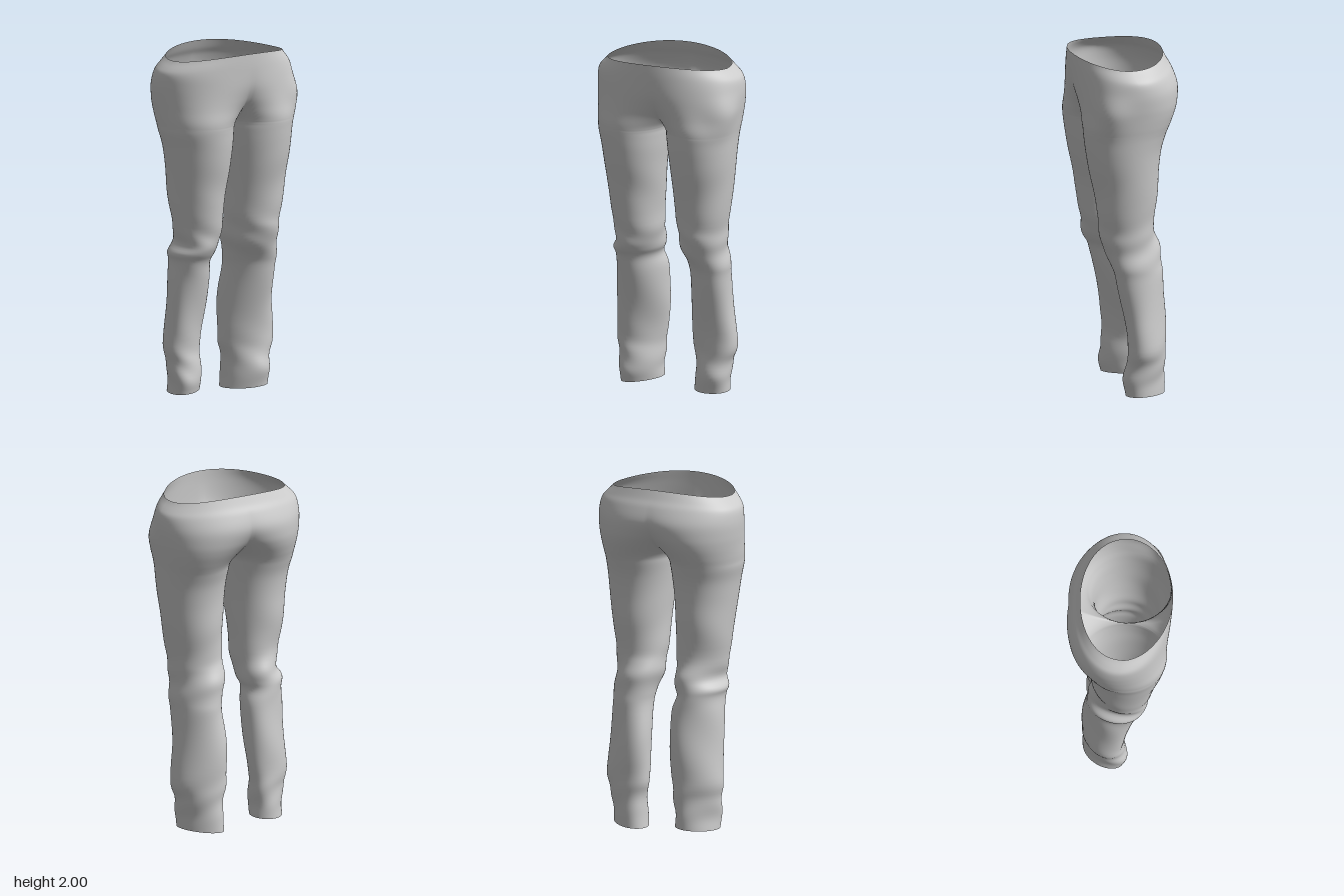
import * as THREE from 'three';
import { mergeVertices } from 'three/addons/utils/BufferGeometryUtils.js';

const { smoothstep, clamp } = THREE.MathUtils;

// Cross-sections: [height, inner x, outer x, front z, back z].
// A negative inner x means the section is cut open at the centre seam.
const pelvis = [
  [1.54, 0.005, 0.411, 0.274, -0.196],
  [1.58, 0.0, 0.415, 0.278, -0.212],
  [1.62, -0.025, 0.42, 0.28, -0.232],
  [1.68, -0.09, 0.426, 0.278, -0.262],
  [1.74, -0.18, 0.432, 0.282, -0.284],
  [1.82, -0.31, 0.436, 0.292, -0.297],
  [1.9, -0.39, 0.428, 0.298, -0.275],
  [1.95, -0.395, 0.405, 0.3, -0.248],
  [2.0, -0.365, 0.365, 0.3, -0.225],
];
const leftLeg = [
  [0.0, 0.1, 0.335, 0.045, -0.2],
  [0.1, 0.112, 0.342, 0.062, -0.2],
  [0.2, 0.108, 0.358, 0.04, -0.203],
  [0.3, 0.085, 0.38, 0.033, -0.205],
  [0.5, 0.085, 0.362, 0.06, -0.205],
  [0.7, 0.095, 0.352, 0.1, -0.19],
  [0.78, 0.085, 0.352, 0.125, -0.178],
  [0.87, 0.06, 0.342, 0.165, -0.172],
  [0.95, 0.055, 0.345, 0.18, -0.148],
  [1.03, 0.048, 0.355, 0.187, -0.135],
  [1.2, 0.038, 0.376, 0.215, -0.15],
  [1.35, 0.026, 0.395, 0.246, -0.158],
  [1.46, 0.014, 0.405, 0.264, -0.172],
];
const rightLeg = [
  [0.02, 0.1, 0.32, 0.045, -0.2],
  [0.1, 0.1, 0.322, 0.06, -0.2],
  [0.2, 0.09, 0.332, 0.04, -0.203],
  [0.3, 0.082, 0.345, 0.033, -0.206],
  [0.5, 0.062, 0.338, 0.06, -0.205],
  [0.7, 0.06, 0.33, 0.1, -0.19],
  [0.79, 0.082, 0.325, 0.128, -0.178],
  [0.84, 0.068, 0.34, 0.155, -0.175],
  [0.9, 0.058, 0.312, 0.174, -0.165],
  [1.0, 0.05, 0.33, 0.184, -0.137],
  [1.2, 0.036, 0.36, 0.215, -0.15],
  [1.35, 0.024, 0.378, 0.246, -0.158],
  [1.46, 0.012, 0.393, 0.264, -0.172],
];

const COLUMNS = 56;
const STEPS = 5;

// Smooth curve through two chosen columns of the section table
const curveOf = (rows, a, b) => new THREE.CatmullRomCurve3(
  rows.map((r) => new THREE.Vector3(r[0], r[a], r[b])), false, 'catmullrom', 0.5);

const bell = (v, centre, width) => Math.exp(-(((v - centre) / width) ** 2));

// Cloth folds around knee and ankle, and a pocket bulge on the left hip
function fold(y, t, side) {
  const fade = 1 - smoothstep(y, 1.1, 1.45);
  const slanted = Math.sin(y * 38 + 3 * Math.sin(t + side) + side);
  const broad = Math.sin(y * 15 + 2 * t + side * 2) * Math.cos(t - side);
  const depth = 0.004 * bell(y, 0.9, 0.14) + 0.003 * bell(y, 0.2, 0.13);
  const pocket = side > 0 ? 0.035 * bell(y, 1.72, 0.11) * bell(t, 0.6, 0.35) : 0;
  return fade * (depth * slanted + 0.004 * broad) + pocket;
}

// One leg with its half of the hips, from hem to waist
function addHalf(rows, side, positions, indices) {
  const widths = curveOf(rows, 1, 2);
  const depths = curveOf(rows, 3, 4);
  const count = (rows.length - 1) * STEPS;
  const base = positions.length / 3;
  for (let i = 0; i <= count; i++) {
    const { x: y, y: inner, z: outer } = widths.getPoint(i / count);
    const { y: front, z: back } = depths.getPoint(i / count);
    const cx = (inner + outer) / 2, rx = (outer - inner) / 2;
    const cz = (front + back) / 2, rz = (front - back) / 2;
    const open = y > 1.581;
    const reach = Math.PI - (open ? Math.acos(clamp(cx / rx, 0, 1)) : 0);
    const rim = smoothstep(y, 1.84, 2);
    const hem = 1 - smoothstep(y, 0, 0.15);
    // the lower legs turn slightly outwards
    const turn = 0.35 * (1 - smoothstep(y, 0.4, 1.3));
    for (let j = 0; j <= COLUMNS; j++) {
      const t = reach * (2 * j / COLUMNS - 1);
      const c = Math.cos(t), s = Math.sin(t + turn);
      const f = fold(y, t, side);
      const seam = open && (j === 0 || j === COLUMNS);
      const x = seam ? 0 : cx + rx * c + f * c;
      // the waist is narrower in front than behind
      const bulge = Math.sign(s) * Math.abs(s) ** (1 + 0.12 * rim * Math.sign(s));
      // the waist dips at the sides and the hems slope
      const height = y - 0.04 * rim * c * c + 0.01 * hem * (1 + side * c);
      positions.push(side * x, height, cz + rz * bulge + f * s);
    }
  }
  const w = COLUMNS + 1;
  for (let i = 0; i < count; i++) {
    for (let j = 0; j < COLUMNS; j++) {
      const a = base + i * w + j, b = a + w, c = a + 1, d = b + 1;
      if (side > 0) indices.push(a, b, c, c, b, d);
      else indices.push(a, c, b, c, d, b);
    }
  }
}

export function createModel() {
  const positions = [], indices = [];
  addHalf([...leftLeg, ...pelvis], 1, positions, indices);
  addHalf([...rightLeg, ...pelvis], -1, positions, indices);

  // Weld the halves along the centre seam so the shading runs across it
  let geometry = new THREE.BufferGeometry();
  geometry.setAttribute('position', new THREE.Float32BufferAttribute(positions, 3));
  geometry.setIndex(indices);
  geometry = mergeVertices(geometry, 1e-4);
  geometry.computeVertexNormals();

  const cloth = new THREE.MeshStandardMaterial({ color: 0xcccccc, side: THREE.DoubleSide });
  const trousers = new THREE.Mesh(geometry, cloth);
  trousers.name = 'trousers';
  const model = new THREE.Group();
  model.name = 'trousersModel';
  model.add(trousers);
  return model;
}
